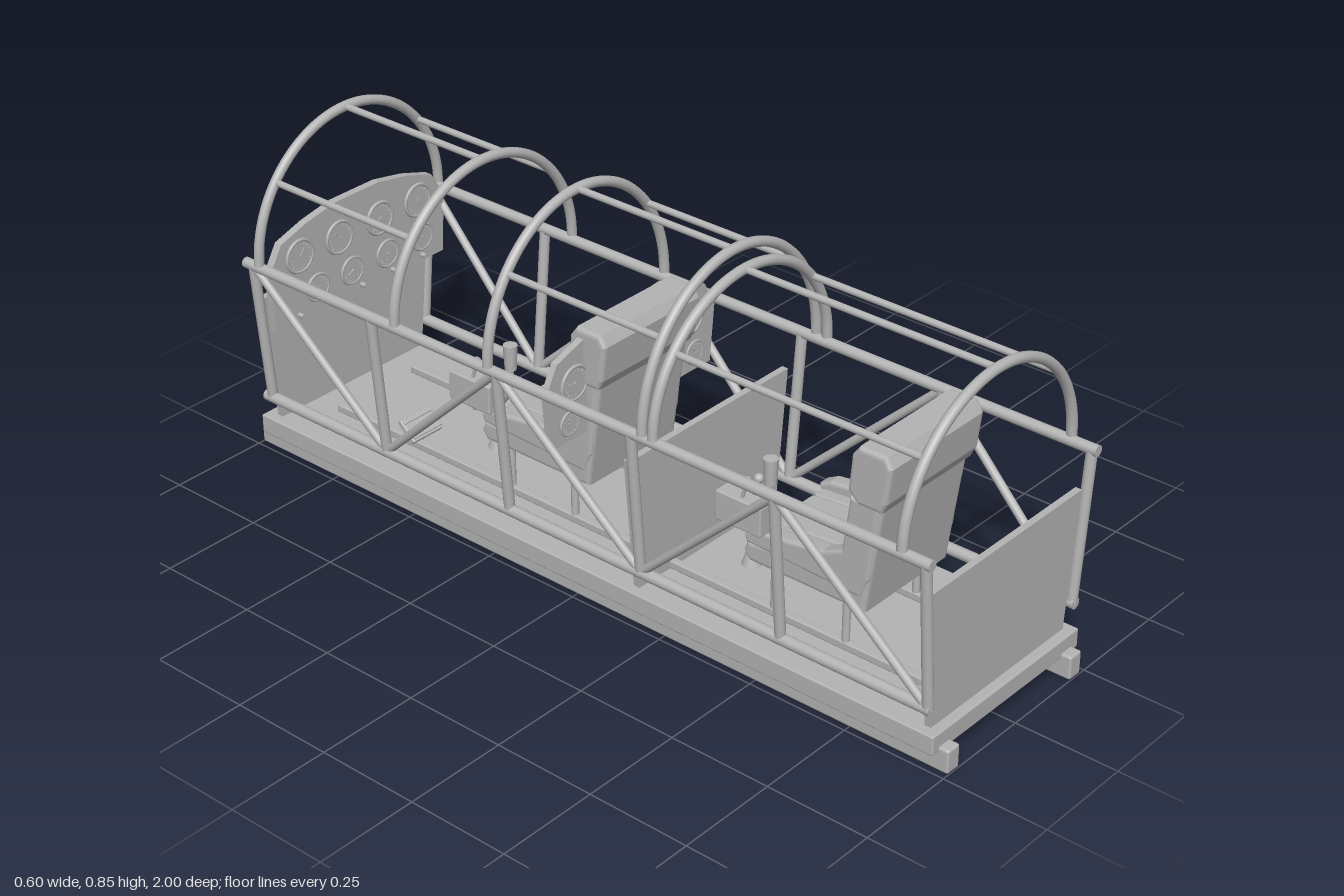
import * as THREE from 'three';
import { RoundedBoxGeometry } from 'three/addons/geometries/RoundedBoxGeometry.js';

const grey = new THREE.MeshStandardMaterial({ color: 0xb4b4b4 });
grey.name = 'plain grey';

export function createModel() {
  const model = new THREE.Group();
  model.name = 'cockpitFrame';
  const V = (x, y, z) => new THREE.Vector3(x, y, z);

  const add = (parent, name, geo, x = 0, y = 0, z = 0) => {
    const m = new THREE.Mesh(geo, grey);
    m.name = name;
    m.position.set(x, y, z);
    parent.add(m);
    return m;
  };
  const box = (parent, name, w, h, d, x, y, z, r = 0.004) =>
    add(parent, name, new RoundedBoxGeometry(w, h, d, 2, r), x, y, z);
  // Straight round bar between two points
  const rod = (parent, name, a, b, r) => {
    const dir = b.clone().sub(a);
    const m = add(parent, name, new THREE.CylinderGeometry(r, r, dir.length(), 14));
    m.position.copy(a).add(b).multiplyScalar(0.5);
    m.quaternion.setFromUnitVectors(V(0, 1, 0), dir.normalize());
    return m;
  };
  // Flat plate from an outline in x and y, spanning z to z + depth
  const plate = (parent, name, pts, depth, z) => {
    const shape = new THREE.Shape(pts.map(p => new THREE.Vector2(...p)));
    return add(parent, name, new THREE.ExtrudeGeometry(shape, { depth, bevelEnabled: false }), 0, 0, z);
  };
  // Side outline in z and y, extruded across x with rounded edges
  const sideProfile = (parent, name, pts, width, bevel, x = 0) => {
    const shape = new THREE.Shape(pts.map(p => new THREE.Vector2(...p)));
    const geo = new THREE.ExtrudeGeometry(shape, {
      depth: width - 2 * bevel, bevelThickness: bevel, bevelSize: bevel,
      bevelOffset: -bevel, bevelSegments: 3,
    });
    geo.translate(0, 0, -(width / 2 - bevel));
    geo.rotateY(-Math.PI / 2);
    return add(parent, name, geo, x, 0, 0);
  };

  // Base platform, skids and seat tracks
  box(model, 'basePlatform', 0.514, 0.047, 1.95, 0, 0.0685, 0);
  for (const s of [-1, 1]) {
    box(model, 'skid', 0.04, 0.058, 2, s * 0.216, 0.029, 0, 0.006);
    box(model, 'seatTrack', 0.02, 0.02, 1.7, s * 0.122, 0.102, 0);
  }

  // Side trusses
  const stations = [0.955, 0.58, 0.2, -0.18, -0.56, -0.935];
  for (const s of [-1, 1]) {
    const top = z => V(s * 0.284, 0.51, z), low = z => V(s * 0.252, 0.152, z);
    const truss = new THREE.Group();
    truss.name = s > 0 ? 'leftTruss' : 'rightTruss';
    model.add(truss);
    rod(truss, 'topRail', top(0.97), top(-0.96), 0.013);
    rod(truss, 'bottomRail', low(0.965), low(-0.955), 0.014);
    stations.forEach((z, i) => {
      rod(truss, 'upright', low(z), top(z), 0.0125);
      if (i < 5) {
        const n = stations[i + 1];
        if (i % 2) rod(truss, 'diagonal', top(z), low(n), 0.01);
        else rod(truss, 'diagonal', low(z), top(n), 0.01);
      }
    });
  }

  // Canopy sections: two hoops joined by three long bars
  for (const [z0, z1, topY] of [[0.9, 0.265, 0.8], [0.235, -0.2, 0.835], [-0.48, -0.91, 0.815]]) {
    const canopy = new THREE.Group();
    canopy.name = 'canopyFrame';
    model.add(canopy);
    const at = (a, z) => V(0.289 * Math.cos(a), 0.52 + (topY - 0.52) * Math.sin(a), z);
    for (const z of [z0, z1]) {
      const pts = Array.from({ length: 25 }, (_, i) => at(Math.PI * i / 24, z));
      add(canopy, 'hoop', new THREE.TubeGeometry(new THREE.CatmullRomCurve3(pts), 48, 0.012, 12));
    }
    for (const a of [0.68, Math.PI / 2, Math.PI - 0.68]) rod(canopy, 'canopyBar', at(a, z0), at(a, z1), 0.008);
  }

  // Bulkheads
  const bulk = [[-0.232, 0.09], [0.232, 0.09], [0.264, 0.42], [-0.264, 0.42]];
  plate(model, 'frontBulkhead', bulk, 0.016, 0.935);
  plate(model, 'middleBulkhead', bulk, 0.016, 0.163);
  plate(model, 'rearBulkhead', bulk, 0.016, -0.945);

  // Dial with rim, face, ticks and needle
  const gauge = (x, y, z, r, turn) => {
    const g = new THREE.Group();
    g.name = 'gauge';
    g.position.set(x, y, z);
    model.add(g);
    add(g, 'rim', new THREE.TorusGeometry(r * 0.92, r * 0.1, 8, 28));
    add(g, 'dial', new THREE.CylinderGeometry(r * 0.9, r * 0.9, 0.004, 28).rotateX(Math.PI / 2));
    for (let i = 0; i < 16; i++) {
      const a = i * Math.PI / 8;
      const t = add(g, 'tick', new THREE.BoxGeometry(r * 0.14, 0.0015, 0.002), Math.cos(a) * r * 0.72, Math.sin(a) * r * 0.72, 0.0025);
      t.rotation.z = a;
    }
    const n = add(g, 'needle', new THREE.BoxGeometry(r * 0.6, 0.003, 0.002), Math.cos(turn) * r * 0.2, Math.sin(turn) * r * 0.2, 0.003);
    n.rotation.z = turn;
    add(g, 'hub', new THREE.CylinderGeometry(0.004, 0.004, 0.004, 10).rotateX(Math.PI / 2), 0, 0, 0.003);
  };

  // Main instrument panel
  plate(model, 'instrumentPanel', [[-0.272, 0.35], [0.272, 0.35], [0.28, 0.5], [0.242, 0.562],
    [0.16, 0.588], [0.07, 0.605], [-0.07, 0.605], [-0.16, 0.588], [-0.242, 0.562], [-0.28, 0.5]], 0.02, -0.905);
  [-0.19, -0.065, 0.065, 0.19].forEach((x, i) => gauge(x, 0.515, -0.882, 0.043, 1 + i * 1.3));
  [-0.14, -0.03, 0.085, 0.2].forEach((x, i) => gauge(x, 0.415, -0.882, 0.036, 2.4 + i * 1.1));
  for (let i = 0; i < 5; i++)
    add(model, 'switch', new THREE.CylinderGeometry(0.006, 0.006, 0.02, 10).rotateX(Math.PI / 2), -0.2 + i * 0.1, 0.366, -0.88);

  // Side instrument panels beside the middle seat
  for (const s of [-1, 1]) {
    const pts = [[0.13, 0.36], [0.262, 0.36], [0.276, 0.5], [0.242, 0.562], [0.16, 0.588], [0.13, 0.59]].map(([x, y]) => [s * x, y]);
    plate(model, 'sideInstrumentPanel', pts, 0.016, -0.058);
    gauge(s * 0.19, 0.497, -0.04, 0.043, s > 0 ? 1 : 3);
    gauge(s * 0.207, 0.405, -0.04, 0.03, 2);
  }

  // Two crew stations
  for (const dz of [0, -0.755]) {
    const station = new THREE.Group();
    station.name = 'crewStation';
    station.position.z = dz;
    model.add(station);

    // Seat shell, cushions and headrest
    sideProfile(station, 'seatShell', [[0.71, 0.215], [0.735, 0.4], [0.758, 0.56], [0.7, 0.57], [0.682, 0.46],
      [0.668, 0.29], [0.4, 0.262], [0.39, 0.235], [0.405, 0.215]], 0.29, 0.01);
    sideProfile(station, 'headrest', [[0.762, 0.5], [0.772, 0.585], [0.757, 0.61], [0.69, 0.61], [0.672, 0.585],
      [0.665, 0.5], [0.69, 0.475], [0.75, 0.475]], 0.316, 0.01);
    for (const s of [-1, 1]) {
      sideProfile(station, 'sideBolster', [[0.72, 0.3], [0.738, 0.48], [0.665, 0.48], [0.648, 0.345], [0.6, 0.322],
        [0.42, 0.297], [0.392, 0.282], [0.4, 0.26], [0.7, 0.25]], 0.04, 0.008, s * 0.128);
      sideProfile(station, 'backPad', [[0.7, 0.29], [0.71, 0.47], [0.66, 0.47], [0.645, 0.31]], 0.033, 0.005, s * 0.088);
      sideProfile(station, 'cushionPad', [[0.66, 0.25], [0.65, 0.3], [0.41, 0.28], [0.4, 0.25]], 0.033, 0.005, s * 0.088);
      for (const z of [0.65, 0.46]) {
        rod(station, 'seatLeg', V(s * 0.122, 0.1, z), V(s * 0.122, 0.225, z), 0.009);
      }
    }
    sideProfile(station, 'backPad', [[0.7, 0.29], [0.71, 0.47], [0.66, 0.47], [0.645, 0.31]], 0.138, 0.005);
    sideProfile(station, 'cushionPad', [[0.66, 0.25], [0.65, 0.3], [0.41, 0.28], [0.4, 0.25]], 0.138, 0.005);

    // Control stick
    const path = new THREE.CatmullRomCurve3([V(0, 0.09, 0.3), V(0, 0.19, 0.3), V(0, 0.25, 0.335), V(0, 0.33, 0.346)]);
    add(station, 'controlStick', new THREE.TubeGeometry(path, 20, 0.009, 10));
    add(station, 'stickGrip', new THREE.CylinderGeometry(0.017, 0.014, 0.062, 14), 0, 0.345, 0.346);
    add(station, 'stickBoot', new THREE.CylinderGeometry(0.014, 0.024, 0.03, 14), 0, 0.105, 0.3);

    // Throttle box with two levers
    box(station, 'throttleBox', 0.052, 0.07, 0.12, -0.228, 0.405, 0.462);
    for (const [x, z] of [[-0.24, 0.475], [-0.215, 0.485]]) {
      rod(station, 'throttleLever', V(x, 0.43, z - 0.015), V(x, 0.482, z), 0.004);
      add(station, 'leverKnob', new THREE.SphereGeometry(0.011, 14, 10), x, 0.482, z);
    }

    // Foot pedals with ribs
    for (const s of [-1, 1]) {
      const pedal = new THREE.Group();
      pedal.name = 'pedal';
      pedal.position.set(s * 0.102, 0.138, 0.152);
      pedal.rotation.x = 0.75;
      station.add(pedal);
      box(pedal, 'pedalPlate', 0.096, 0.014, 0.062, 0, 0, 0);
      for (const z of [-0.02, 0, 0.02]) box(pedal, 'pedalRib', 0.09, 0.006, 0.009, 0, 0.009, z, 0.002);
      rod(station, 'pedalArm', V(s * 0.102, 0.09, 0.15), V(s * 0.102, 0.135, 0.152), 0.008);
    }
  }
  return model;
}
